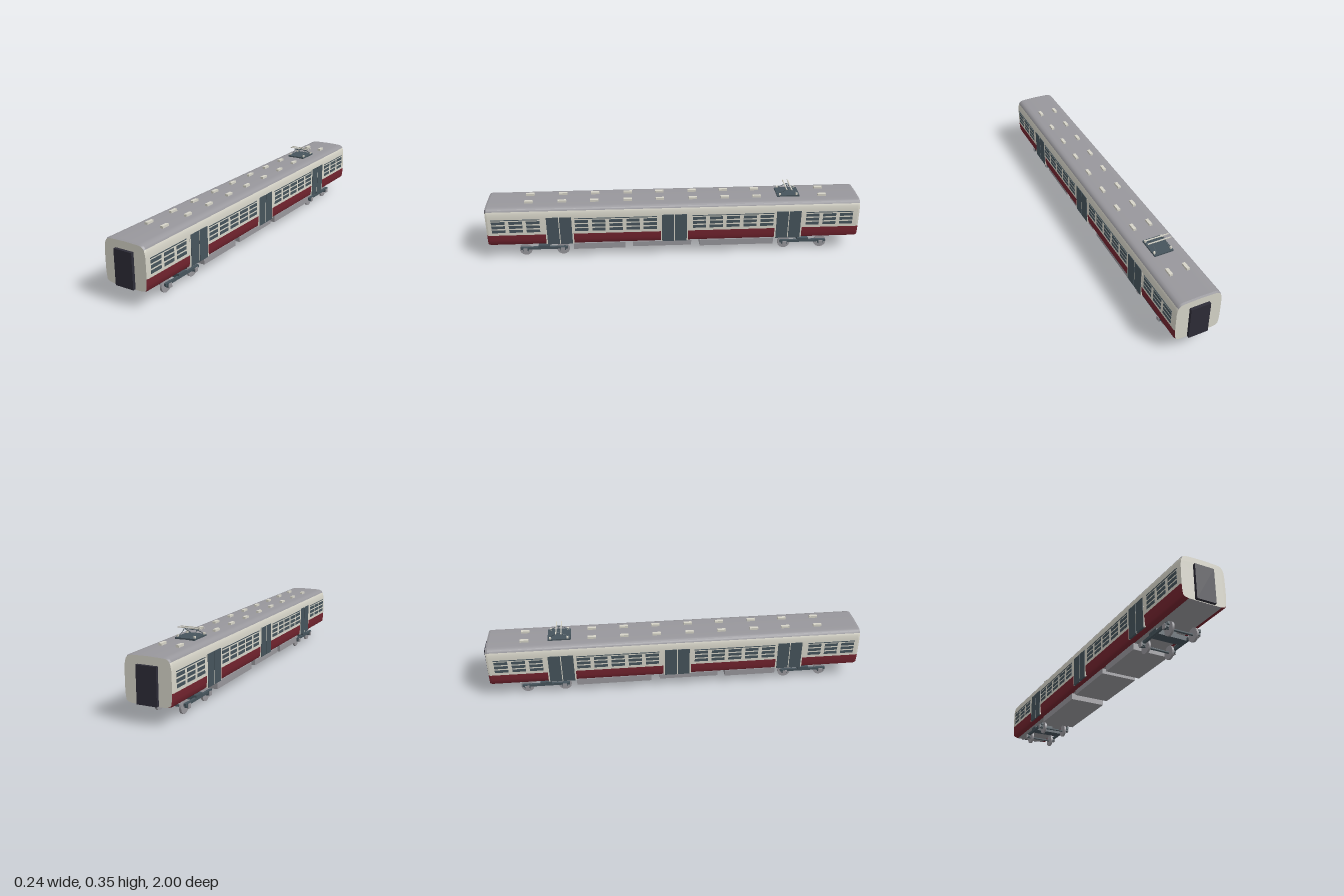
import * as THREE from 'three';

const mat = (name, color) => {
  const m = new THREE.MeshStandardMaterial({ color });
  m.name = name;
  return m;
};

export function createModel() {
  const model = new THREE.Group();
  model.name = 'railCar';
  const cream = mat('cream', 0xd6d4c8);
  const red = mat('darkRed', 0x74242f);
  const grey = mat('grey', 0x98979c);
  const slate = mat('slate', 0x46545c);
  const black = mat('nightBlue', 0x2d2c37);

  const add = (parent, name, geo, material, x = 0, y = 0, z = 0) => {
    const m = new THREE.Mesh(geo, material);
    m.name = name;
    m.position.set(x, y, z);
    parent.add(m);
    return m;
  };
  const box = (parent, name, material, w, h, d, x, y, z) =>
    add(parent, name, new THREE.BoxGeometry(w, h, d), material, x, y, z);
  const rod = (parent, name, material, a, b, r) => {
    const p = new THREE.Vector3(...a), q = new THREE.Vector3(...b);
    const m = add(parent, name, new THREE.CylinderGeometry(r, r, p.distanceTo(q), 8), material);
    m.position.copy(p).add(q).multiplyScalar(0.5);
    m.quaternion.setFromUnitVectors(new THREE.Vector3(0, 1, 0), q.sub(p).normalize());
    return m;
  };

  // Body section, right half from floor to roof; the left half is mirrored
  const half = [[0, 0.082], [0.085, 0.083], [0.105, 0.088], [0.113, 0.096], [0.1165, 0.12],
    [0.118, 0.15], [0.118, 0.2], [0.117, 0.25], [0.114, 0.27], [0.11, 0.283],
    [0.103, 0.293], [0.092, 0.299], [0.075, 0.301], [0, 0.303]];
  const ring = [...half, ...half.slice(1, -1).reverse().map(([x, y]) => [-x, y])];
  const paint = y => (y < 0.084 ? 0 : y < 0.15 ? 1 : y < 0.28 ? 2 : 0); // grey, red, cream
  const inset = ([x, y], s) => [x * s, 0.19 + (y - 0.19) * s];

  // Length of body between two sections, coloured in bands
  const band = (name, z0, s0, z1, s1) => {
    const n = ring.length, pos = [], idx = [];
    for (const [z, s] of [[z0, s0], [z1, s1]]) for (const p of ring) pos.push(...inset(p, s), z);
    const g = new THREE.BufferGeometry();
    for (let i = 0; i < n; i++) {
      const j = (i + 1) % n;
      idx.push(i, n + j, j, i, n + i, n + j);
      g.addGroup(i * 6, 6, paint((ring[i][1] + ring[j][1]) / 2));
    }
    // corners run anticlockwise seen from the front, so reverse for outward faces
    for (let k = 0; k < idx.length; k += 3) [idx[k + 1], idx[k + 2]] = [idx[k + 2], idx[k + 1]];
    g.setAttribute('position', new THREE.Float32BufferAttribute(pos, 3));
    g.setIndex(idx);
    g.computeVertexNormals();
    add(model, name, g, [grey, red, cream]);
  };
  band('bodyShell', -0.975, 1, 0.975, 1);
  band('frontRim', 0.975, 1, 0.985, 0.975);
  band('backRim', -0.985, 0.975, -0.975, 1);

  // End walls and gangway doors
  const endShape = new THREE.Shape(ring.map(p => new THREE.Vector2(...inset(p, 0.975))));
  for (const s of [1, -1]) {
    const wall = add(model, 'endWall', new THREE.ShapeGeometry(endShape), cream, 0, 0, s * 0.985);
    if (s < 0) wall.rotation.y = Math.PI;
    box(model, 'gangway', black, 0.1, 0.174, 0.02, 0, 0.175, s * 0.99);
  }

  // Doors and slatted windows on both sides
  const windowRuns = [[0.922, 3], [0.49, 5], [-0.13, 5], [-0.735, 3]];
  for (const s of [1, -1]) {
    for (const z of [0.607, 0.002, -0.607]) {
      box(model, 'doorFrame', cream, 0.008, 0.156, 0.146, s * 0.1142, 0.169, z);
      for (const d of [-0.034, 0.034])
        box(model, 'doorLeaf', slate, 0.009, 0.158, 0.063, s * 0.115, 0.169, z + d);
    }
    for (const [start, count] of windowRuns) {
      const length = (count - 1) * 0.09 + 0.074;
      box(model, 'windowRail', slate, 0.004, 0.004, length, s * 0.1176, 0.239, start - (count - 1) * 0.045);
      for (let i = 0; i < count; i++)
        for (const y of [0.222, 0.198, 0.174])
          box(model, 'windowSlat', slate, 0.004, 0.016, 0.07, s * 0.1175, y, start - i * 0.09);
    }
  }

  // Roof vents
  for (const z of [-0.79, -0.44, -0.27, -0.1, 0.075, 0.245, 0.42, 0.59, 0.765])
    for (const s of [1, -1]) box(model, 'roofVent', cream, 0.016, 0.014, 0.044, s * 0.044, 0.306, z);

  // Current collector
  const collector = new THREE.Group();
  collector.name = 'currentCollector';
  collector.position.z = -0.61;
  model.add(collector);
  box(collector, 'collectorBase', slate, 0.1, 0.008, 0.12, 0, 0.306, 0);
  for (const s of [1, -1]) {
    for (const e of [1, -1]) {
      box(collector, 'insulator', cream, 0.008, 0.018, 0.01, s * 0.044, 0.311, e * 0.045);
      rod(collector, 'collectorArm', slate, [s * 0.034, 0.313, e * 0.055], [s * 0.034, 0.339, 0], 0.0016);
    }
    rod(collector, 'collectorLink', slate, [s * 0.034, 0.339, -0.013], [s * 0.034, 0.339, 0.013], 0.0014);
    box(collector, 'contactStrip', cream, 0.124, 0.004, 0.005, 0, 0.348, s * 0.013);
    rod(collector, 'stripSupport', slate, [0, 0.339, 0], [0, 0.347, s * 0.013], 0.0014);
  }
  rod(collector, 'collectorCrossbar', slate, [-0.035, 0.339, 0], [0.035, 0.339, 0], 0.0016);

  // Equipment boxes under the floor
  for (const [z0, z1, y] of [[0.265, 0.54, 0.043], [-0.09, 0.225, 0.049], [-0.535, -0.135, 0.042]])
    box(model, 'equipmentBox', grey, 0.19, 0.077 - y, z1 - z0, 0, (0.077 + y) / 2, (z0 + z1) / 2);

  // Bogies
  for (const z of [0.7, -0.7]) {
    const bogie = new THREE.Group();
    bogie.name = 'bogie';
    bogie.position.z = z;
    model.add(bogie);
    box(bogie, 'bolster', slate, 0.15, 0.024, 0.055, 0, 0.054, 0);
    box(bogie, 'pivot', slate, 0.05, 0.02, 0.05, 0, 0.075, 0);
    for (const s of [1, -1]) {
      box(bogie, 'sideFrame', slate, 0.012, 0.013, 0.25, s * 0.082, 0.049, 0);
      box(bogie, 'springPlank', slate, 0.014, 0.012, 0.06, s * 0.082, 0.06, 0);
      for (const a of [0.1, -0.1]) {
        rod(bogie, 'wheel', grey, [s * 0.058, 0.034, a], [s * 0.069, 0.034, a], 0.034);
        const w = bogie.children[bogie.children.length - 1];
        w.geometry = new THREE.CylinderGeometry(0.034, 0.034, 0.011, 24);
        box(bogie, 'axleBox', slate, 0.016, 0.022, 0.03, s * 0.082, 0.044, a);
        box(bogie, 'axleCover', grey, 0.005, 0.022, 0.022, s * 0.0915, 0.04, a);
      }
    }
    for (const a of [0.1, -0.1]) rod(bogie, 'axle', slate, [-0.085, 0.034, a], [0.085, 0.034, a], 0.006);
  }
  return model;
}
